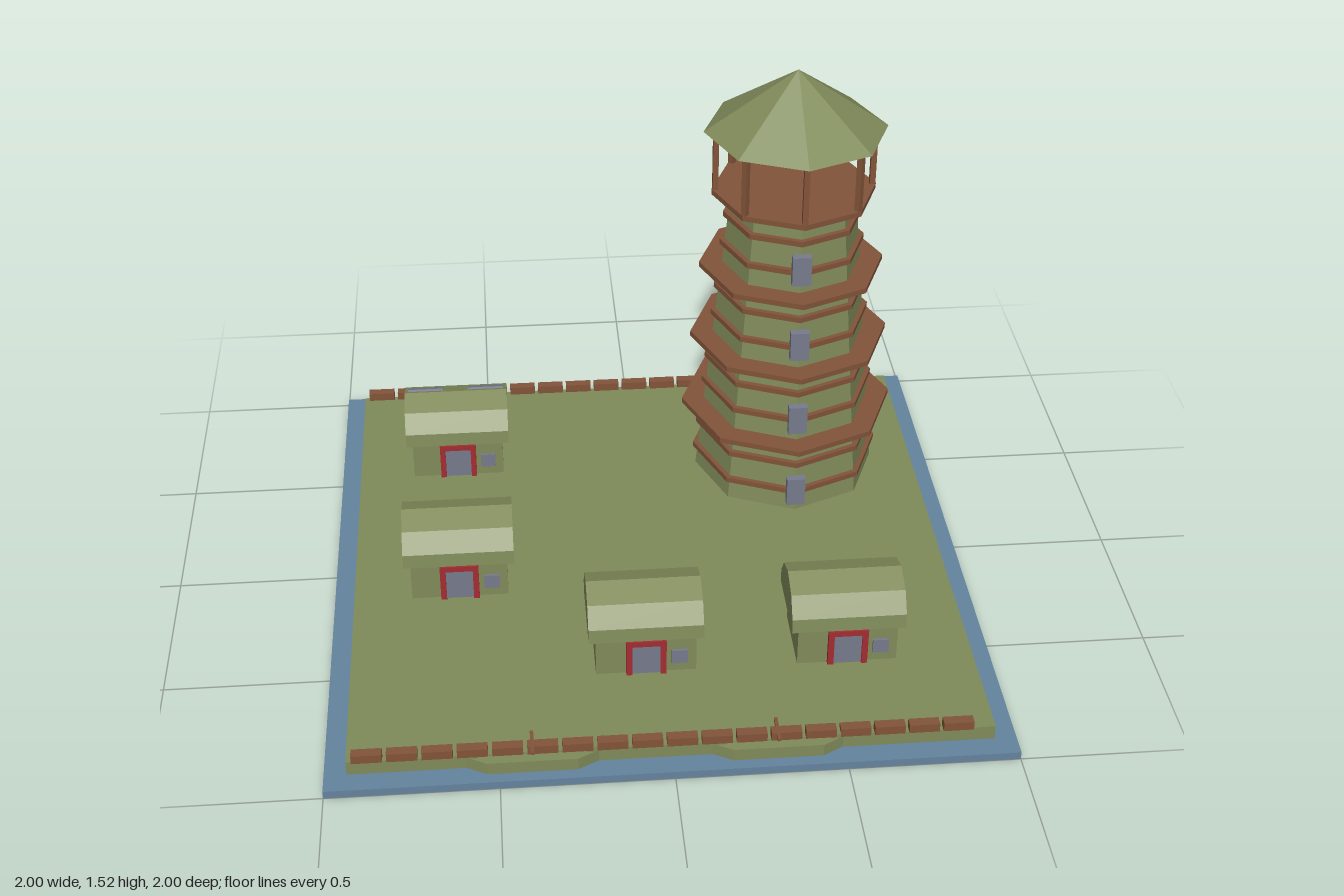
import * as THREE from 'three';

const mat = (name, color) => {
  const m = new THREE.MeshStandardMaterial({ color, flatShading: true });
  m.name = name;
  return m;
};

export function createModel() {
  const green = mat('mossGreen', 0x808b5a);
  const brown = mat('woodBrown', 0x83543a);
  const blue = mat('waterBlue', 0x64849f);
  const red = mat('doorRed', 0xa32d32);
  const grey = mat('windowGrey', 0x777b8c);

  const model = new THREE.Group();
  model.name = 'village';

  const add = (parent, name, geo, material, x = 0, y = 0, z = 0) => {
    const mesh = new THREE.Mesh(geo, material);
    mesh.name = name;
    mesh.position.set(x, y, z);
    parent.add(mesh);
    return mesh;
  };
  const box = (parent, name, material, w, h, d, x, y, z) =>
    add(parent, name, new THREE.BoxGeometry(w, h, d), material, x, y, z);
  const group = (name, x, y, z) => {
    const g = new THREE.Group();
    g.name = name;
    g.position.set(x, y, z);
    model.add(g);
    return g;
  };

  // Water slab and island
  box(model, 'water', blue, 2, 0.025, 2, 0, 0.0125, 0);
  box(model, 'land', green, 1.87, 0.047, 1.87, 0, 0.0475, 0);

  // Octagonal tower
  const tower = group('tower', 0.5, 0, -0.455);
  const bodyRadius = (y) => 0.3 - ((y - 0.07) * 0.1) / 1.035;
  add(tower, 'towerBody', new THREE.CylinderGeometry(0.2, 0.3, 1.035, 8), green, 0, 0.5875, 0);
  const ring = (name, y, r) =>
    add(tower, name, new THREE.CylinderGeometry(r, r, 0.018, 8), brown, 0, y, 0);
  for (const y of [0.145, 0.245, 0.41, 0.505, 0.67, 0.77, 0.93, 1.03])
    ring('narrowBand', y, bodyRadius(y) + 0.016);
  for (const y of [0.325, 0.587, 0.848]) ring('wideLedge', y, bodyRadius(y) + 0.073);
  ring('lookoutFloor', 1.11, 0.262);
  for (const y of [0.15, 0.415, 0.68, 0.94])
    box(tower, 'towerWindow', grey, 0.06, 0.1, 0.026, 0, y, bodyRadius(y) + 0.009);

  // Lookout posts and roof
  for (let i = 0; i < 8; i++) {
    const a = (i * Math.PI) / 4;
    const post = box(tower, 'lookoutPost', brown, 0.018, 0.21, 0.018,
      Math.sin(a) * 0.25, 1.22, Math.cos(a) * 0.25);
    post.rotation.y = a;
  }
  add(tower, 'towerRoof', new THREE.ConeGeometry(0.29, 0.2, 8), green, 0, 1.42, 0);

  // Houses with rounded roofs
  const roofShape = new THREE.Shape([
    [-0.128, 0.2], [0.128, 0.2], [0.123, 0.245], [0.08, 0.304],
    [0, 0.333], [-0.08, 0.304], [-0.123, 0.245],
  ].map(([x, y]) => new THREE.Vector2(x, y)));
  const roofGeo = new THREE.ExtrudeGeometry(roofShape, { depth: 0.342, bevelEnabled: false });
  roofGeo.translate(0, 0, -0.171).rotateY(Math.PI / 2);

  const house = (x, z) => {
    const h = group('house', x, 0, z);
    box(h, 'houseBody', green, 0.3, 0.135, 0.22, 0, 0.1375, 0.004);
    add(h, 'houseRoof', roofGeo, green);
    for (const s of [-1, 1])
      box(h, 'doorPost', red, 0.018, 0.125, 0.016, s * 0.051, 0.1325, 0.12);
    box(h, 'doorLintel', red, 0.12, 0.018, 0.016, 0, 0.186, 0.12);
    box(h, 'door', grey, 0.084, 0.107, 0.008, 0, 0.1235, 0.117);
    box(h, 'houseWindow', grey, 0.048, 0.048, 0.009, 0.1, 0.127, 0.117);
    return h;
  };
  const skylit = house(-0.604, -0.557);
  house(-0.604, 0.098);
  house(-0.054, 0.5);
  house(0.55, 0.5);

  // Two skylights on the back roof slope of one house
  for (const s of [-1, 1]) {
    const light = box(skylit, 'skylight', grey, 0.12, 0.009, 0.024, s * 0.1, 0.326, -0.027);
    light.rotation.x = -Math.atan2(0.029, 0.08);
  }

  // Log rows along the front and back shores
  for (const z of [-0.932, 0.928])
    for (let i = 0; i < 18; i++)
      box(model, 'shoreLog', brown, 0.088, 0.028, 0.03, -0.875 + i * 0.1, 0.085, z);

  // Moored boats
  const hullShape = new THREE.Shape([
    [-0.2, 0], [-0.13, -0.037], [0.13, -0.037], [0.2, 0], [0.13, 0.037], [-0.13, 0.037],
  ].map(([x, y]) => new THREE.Vector2(x, y)));
  const hullGeo = new THREE.ExtrudeGeometry(hullShape, { depth: 0.04, bevelEnabled: false });
  hullGeo.rotateX(-Math.PI / 2);
  for (const x of [-0.405, 0.3]) {
    const boat = group('boat', x, 0, 0.93);
    add(boat, 'hull', hullGeo, green, 0, 0.026, 0);
    box(boat, 'oar', brown, 0.01, 0.01, 0.09, 0, 0.095, -0.008);
    for (const s of [-1, 1]) {
      const prow = box(boat, 'prow', green, 0.055, 0.016, 0.04, s * 0.18, 0.075, -0.008);
      prow.rotation.z = s * 0.45;
    }
  }

  return model;
}
